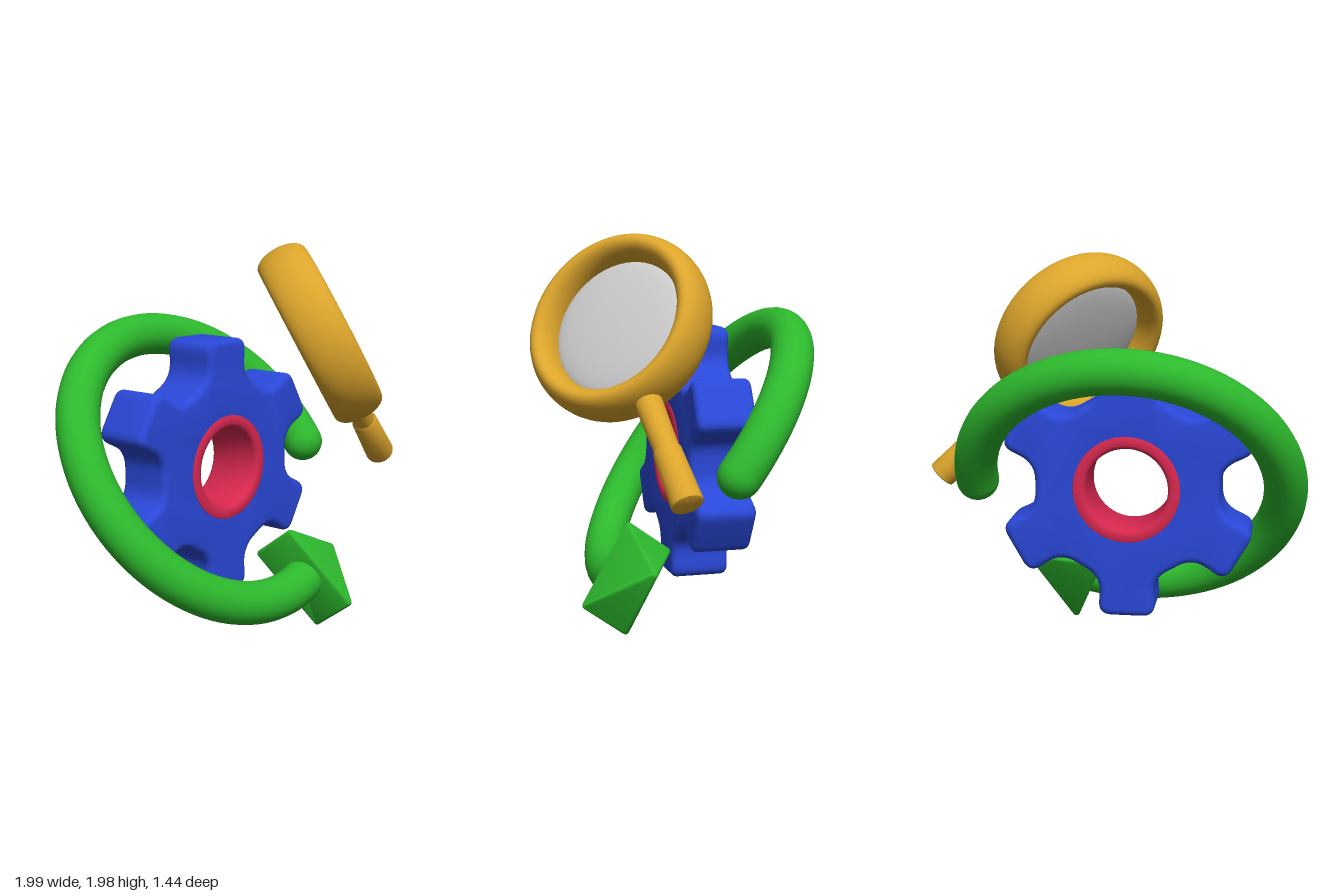
import * as THREE from 'three';
import { toCreasedNormals } from 'three/addons/utils/BufferGeometryUtils.js';
import { ConvexGeometry } from 'three/addons/geometries/ConvexGeometry.js';

const paint = (color) => new THREE.MeshStandardMaterial({ color });
const BLUE = paint(0x2a48d8), RED = paint(0xd8284f), GREEN = paint(0x2db92d);
const GOLD = paint(0xdca52c), GREY = paint(0xcccccc);

function add(parent, name, geometry, material) {
  const mesh = new THREE.Mesh(geometry, material);
  mesh.name = name;
  parent.add(mesh);
  return mesh;
}

function lathe(points, segments = 48) {
  const profile = points.map(([r, y]) => new THREE.Vector2(r, y));
  return toCreasedNormals(new THREE.LatheGeometry(profile, segments), 0.7);
}

// Closed outline whose corners [x, y, cut] are softened by curves
function roundedOutline(corners) {
  const shape = new THREE.Shape();
  const n = corners.length;
  corners.forEach(([x, y, cut], i) => {
    const toward = ([px, py]) => {
      const k = cut / Math.hypot(px - x, py - y);
      return [x + (px - x) * k, y + (py - y) * k];
    };
    const a = toward(corners[(i + n - 1) % n]);
    const b = toward(corners[(i + 1) % n]);
    if (i === 0) shape.moveTo(...a); else shape.lineTo(...a);
    shape.quadraticCurveTo(x, y, ...b);
  });
  shape.closePath();
  return shape;
}

// Six-toothed gear with a bushing in its bore
function makeGear() {
  const group = new THREE.Group();
  group.name = 'gear';
  const corners = [];
  for (let i = 0; i < 6; i++) {
    const angle = Math.PI / 6 + i * Math.PI / 3;
    const c = Math.cos(angle), s = Math.sin(angle);
    for (const [r, w, cut] of [[0.455, -0.13, 0.085], [0.65, -0.145, 0.07], [0.65, 0.145, 0.07], [0.455, 0.13, 0.085]])
      corners.push([r * c - w * s, r * s + w * c, cut]);
  }
  const outline = roundedOutline(corners);
  outline.holes.push(new THREE.Path().absarc(0, 0, 0.235, 0, Math.PI * 2, true));
  const body = new THREE.ExtrudeGeometry(outline, {
    depth: 0.23, bevelThickness: 0.035, bevelSize: 0.035, bevelOffset: -0.035,
    bevelSegments: 5, curveSegments: 10,
  });
  body.translate(0, 0, -0.115);
  add(group, 'gearBody', toCreasedNormals(body, 0.7), BLUE);

  const bushing = lathe([
    [0.205, -0.14], [0.205, 0.14], [0.212, 0.152], [0.225, 0.157], [0.25, 0.157], [0.265, 0.152],
    [0.27, 0.14], [0.27, -0.14], [0.265, -0.152], [0.25, -0.157], [0.225, -0.157], [0.212, -0.152], [0.205, -0.14],
  ].reverse(), 64);
  bushing.rotateX(Math.PI / 2);
  add(group, 'bushing', bushing, RED);
  group.position.set(-0.1, 0.87, -0.152);
  return group;
}

// Tilted circular arrow around the gear
function makeArrow() {
  const group = new THREE.Group();
  group.name = 'circularArrow';
  const R = 0.777, tube = 0.108, sweep = THREE.MathUtils.degToRad(290);
  add(group, 'arrowShaft', new THREE.TorusGeometry(R, tube, 24, 96, sweep), GREEN);
  add(group, 'shaftEnd', new THREE.SphereGeometry(tube, 24, 16), GREEN).position.x = R;

  // Pyramid head with softened corners: x is radial, y runs along the arc
  const points = [];
  const corners = [[0, 0.325, 0]];
  for (const x of [-0.23, 0.23]) for (const z of [-0.122, 0.122]) corners.push([x, 0.005, z]);
  const ball = new THREE.IcosahedronGeometry(0.02, 2).attributes.position;
  for (const corner of corners)
    for (let i = 0; i < ball.count; i++)
      points.push(new THREE.Vector3(...corner).add(new THREE.Vector3().fromBufferAttribute(ball, i)));
  const head = add(group, 'arrowHead', toCreasedNormals(new ConvexGeometry(points), 0.6), GREEN);
  head.position.set(R * Math.cos(sweep), R * Math.sin(sweep), 0);
  head.rotation.z = sweep;

  group.position.set(-0.098, 0.87, -0.155);
  group.rotation.x = -0.626;
  return group;
}

// Magnifying glass: local z faces out of the lens, the handle runs down -y
function makeMagnifier() {
  const group = new THREE.Group();
  group.name = 'magnifyingGlass';
  const rim = new THREE.TorusGeometry(0.41, 0.067, 28, 80);
  rim.scale(1, 1, 1.95);
  add(group, 'rim', rim, GOLD);
  const lens = new THREE.SphereGeometry(0.355, 48, 24);
  lens.scale(1, 1, 0.14);
  add(group, 'lens', lens, GREY);
  add(group, 'handleNeck', lathe([[0, -0.76], [0.06, -0.76], [0.067, -0.44], [0, -0.44]], 32), GOLD);
  add(group, 'handleGrip', lathe([
    [0, -1.05], [0.066, -1.05], [0.074, -1.046], [0.077, -1.035], [0.068, -0.755], [0.06, -0.74], [0, -0.74],
  ], 32), GOLD);

  const facing = new THREE.Vector3(0.60, 0.47, 0.65).normalize();
  const up = new THREE.Vector3(-0.664, 0.728, 0.168);
  up.addScaledVector(facing, -up.dot(facing)).normalize();
  const side = new THREE.Vector3().crossVectors(up, facing);
  group.quaternion.setFromRotationMatrix(new THREE.Matrix4().makeBasis(side, up, facing));
  group.position.set(0.228, 1.547, 0.315);
  return group;
}

export function createModel() {
  const model = new THREE.Group();
  model.name = 'gearArrowAndMagnifier';
  model.add(makeGear(), makeArrow(), makeMagnifier());
  return model;
}
